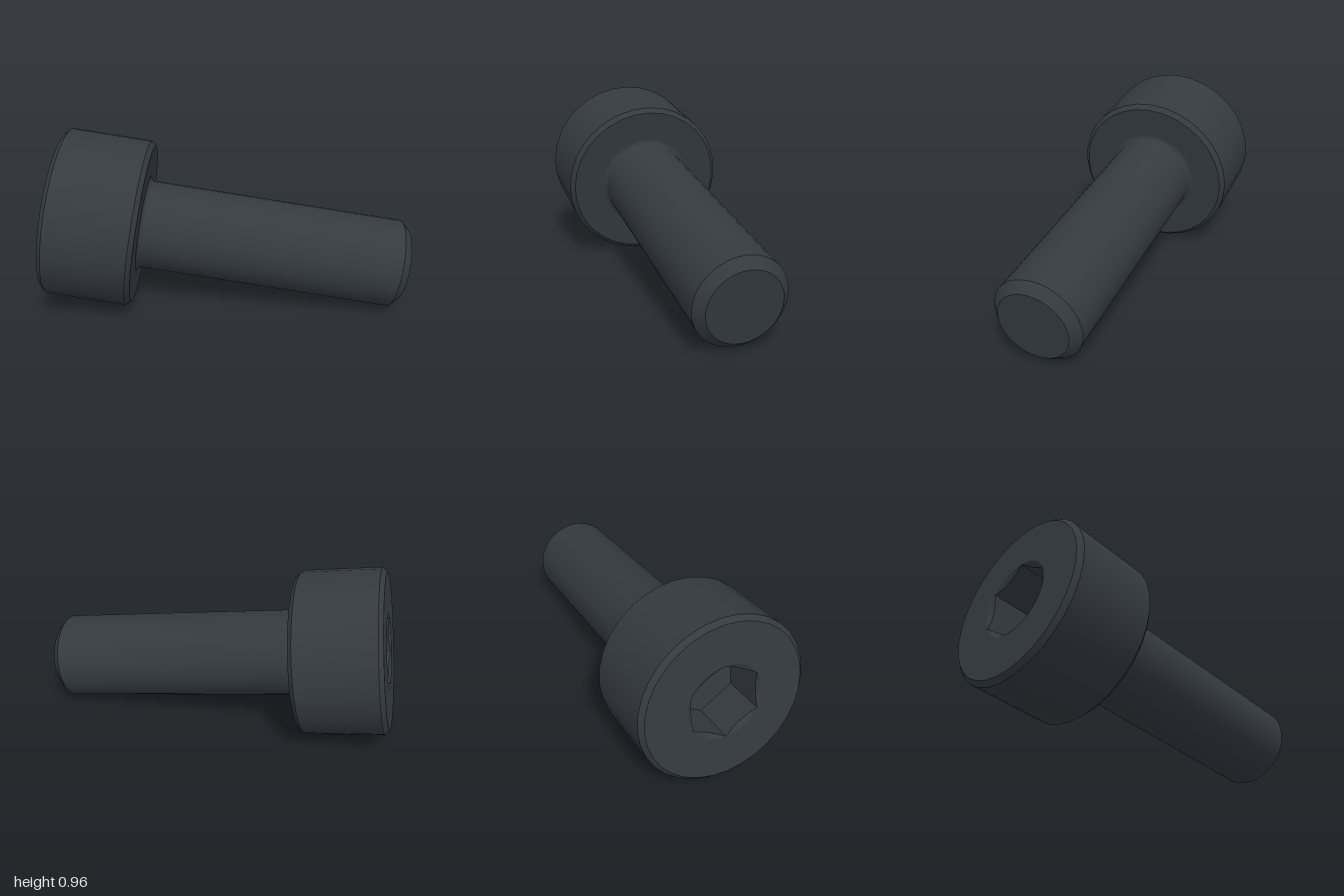
import * as THREE from 'three';
import { toCreasedNormals } from 'three/addons/utils/BufferGeometryUtils.js';

const SIDES = 32, SOCKET_SIDES = 48;
const HEAD_R = 0.4525, HEAD_H = 0.476, HEAD_BEVEL = 0.024;
const SHANK_R = 0.238, SHANK_L = 1.429, TIP_BEVEL = 0.0475, FILLET = 0.024;
const SOCKET_R = 0.206, SOCKET_DEPTH = 0.238;

// Points of a circle in the plane across the screw's axis
function circle(radius, sides) {
  return Array.from({ length: sides }, (_, i) => {
    const a = (i / sides) * Math.PI * 2;
    return new THREE.Vector2(Math.sin(a) * radius, Math.cos(a) * radius);
  });
}

// Turned surface with sharp bevel edges and smooth sides
function turned(profile) {
  const points = profile.map(([r, y]) => new THREE.Vector2(r, y));
  return toCreasedNormals(new THREE.LatheGeometry(points, SIDES), 0.5);
}

// Hex recess: round rim, shallow cone, six flat walls and a flat floor
function socketGeometry() {
  const top = -HEAD_H, apothem = SOCKET_R * Math.cos(Math.PI / 6);
  const positions = [], indices = [];
  for (let ring = 0; ring < 4; ring++) {
    for (let i = 0; i < SOCKET_SIDES; i++) {
      const a = (i / SOCKET_SIDES) * Math.PI * 2;
      // Angle from the middle of the nearest flat; corners lie at 30 + 60k degrees
      const off = a - Math.round(a / (Math.PI / 3)) * (Math.PI / 3);
      const hex = apothem / Math.cos(off);
      const r = [SOCKET_R, hex, hex, 0][ring];
      const y = top + [0, (SOCKET_R - hex) * 0.6, SOCKET_DEPTH, SOCKET_DEPTH][ring];
      positions.push(Math.sin(a) * r, y, Math.cos(a) * r);
      if (ring < 3) {
        const next = (i + 1) % SOCKET_SIDES;
        const p = ring * SOCKET_SIDES + i, q = ring * SOCKET_SIDES + next;
        indices.push(p, p + SOCKET_SIDES, q + SOCKET_SIDES, p, q + SOCKET_SIDES, q);
      }
    }
  }
  const geometry = new THREE.BufferGeometry();
  geometry.setAttribute('position', new THREE.Float32BufferAttribute(positions, 3));
  geometry.setIndex(indices);
  const flat = geometry.toNonIndexed();
  flat.computeVertexNormals();
  return flat;
}

export function createModel() {
  const steel = new THREE.MeshStandardMaterial({ color: 0x343a40 });
  steel.name = 'dark steel';

  const screw = new THREE.Group();
  screw.name = 'socket head screw';
  const add = (name, geometry) => {
    const mesh = new THREE.Mesh(geometry, steel);
    mesh.name = name;
    screw.add(mesh);
  };

  // Head: bevelled drum, its underside at y = 0
  add('head', turned([
    [HEAD_R - HEAD_BEVEL, -HEAD_H],
    [HEAD_R, -HEAD_H + HEAD_BEVEL],
    [HEAD_R, -HEAD_BEVEL],
    [HEAD_R - HEAD_BEVEL, 0],
    [SHANK_R + FILLET, 0],
  ]));

  // Head face with a round opening
  const face = new THREE.Shape(circle(HEAD_R - HEAD_BEVEL, SIDES));
  face.holes.push(new THREE.Path(circle(SOCKET_R, SOCKET_SIDES)));
  add('headFace', new THREE.ShapeGeometry(face).rotateX(Math.PI / 2).translate(0, -HEAD_H, 0));

  add('hexSocket', socketGeometry());

  // Shank: fillet under the head, plain cylinder, bevelled tip
  const shank = [];
  for (let i = 0; i <= 4; i++) {
    const a = (i / 4) * Math.PI / 2;
    shank.push([SHANK_R + FILLET * (1 - Math.sin(a)), FILLET * (1 - Math.cos(a))]);
  }
  shank.push(
    [SHANK_R, SHANK_L - TIP_BEVEL],
    [SHANK_R - TIP_BEVEL, SHANK_L],
    [0, SHANK_L],
  );
  add('shank', turned(shank));

  // Lay the screw along its tilted axis, a socket corner pointing up
  const axis = new THREE.Vector3(1, -0.1535, 0.212).normalize();
  const lay = new THREE.Quaternion().setFromAxisAngle(new THREE.Vector3(0, 0, 1), -Math.PI / 2);
  screw.quaternion.setFromUnitVectors(new THREE.Vector3(1, 0, 0), axis).multiply(lay);
  screw.position.set(-0.431, 0.445, 0.01);

  const model = new THREE.Group();
  model.name = 'screw model';
  model.add(screw);
  return model;
}
